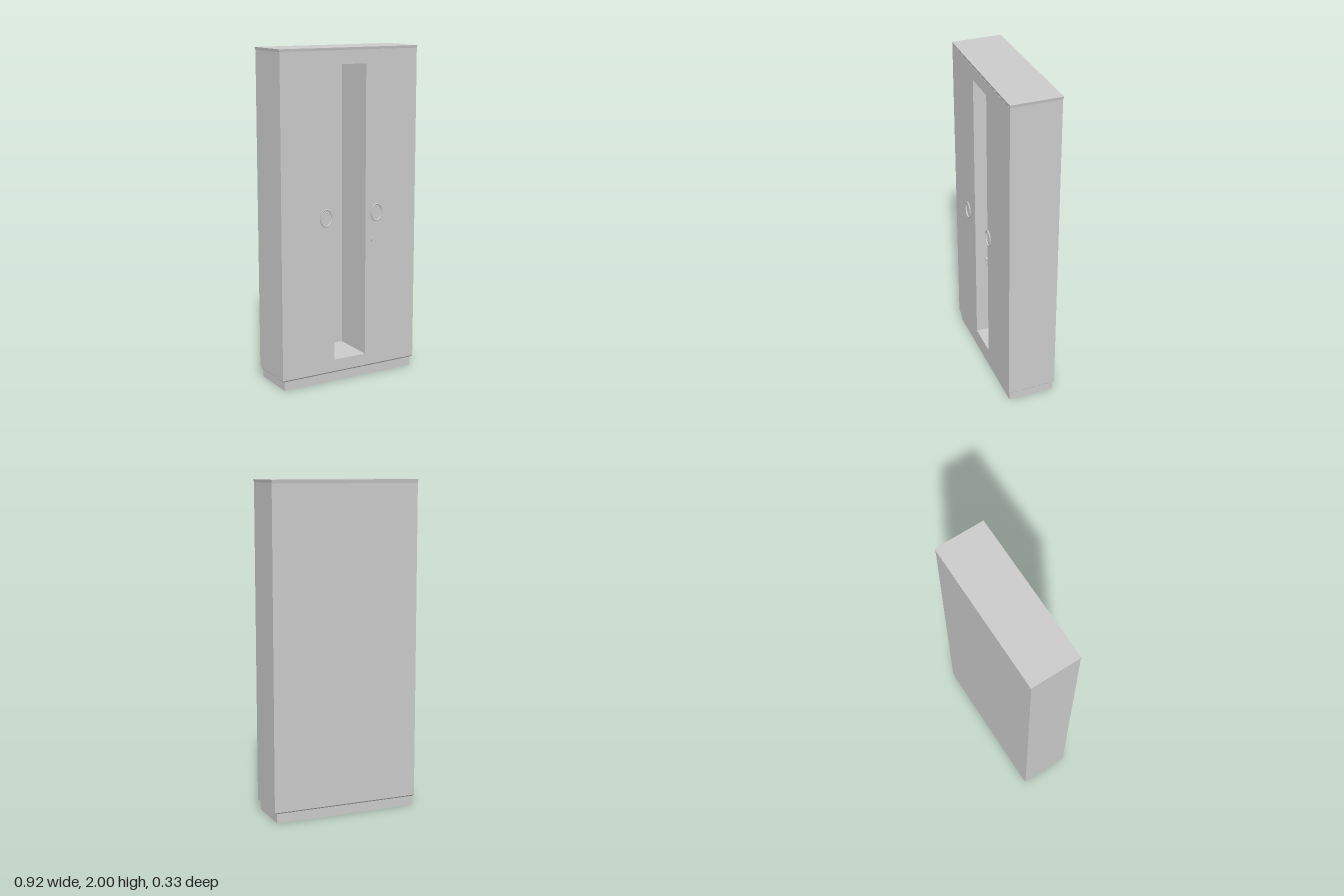
import * as THREE from 'three';

const material = new THREE.MeshStandardMaterial({ color: 0xcccccc });

function add(group, name, geometry, x = 0, y = 0, z = 0) {
  const mesh = new THREE.Mesh(geometry, material);
  mesh.name = name;
  mesh.position.set(x, y, z);
  group.add(mesh);
  return mesh;
}

// Rectangular outline between two corners
function rectangle(PathType, x0, y0, x1, y1) {
  return new PathType().moveTo(x0, y0).lineTo(x1, y0).lineTo(x1, y1).lineTo(x0, y1).closePath();
}

// Box whose bottom is inset on all sides
function taperedBox(w, h, d, inset) {
  const geometry = new THREE.BoxGeometry(w, h, d);
  const p = geometry.attributes.position;
  for (let i = 0; i < p.count; i++) {
    if (p.getY(i) < 0) {
      p.setX(i, p.getX(i) - Math.sign(p.getX(i)) * inset);
      p.setZ(i, p.getZ(i) - Math.sign(p.getZ(i)) * inset);
    }
  }
  geometry.computeVertexNormals();
  return geometry;
}

export function createModel() {
  const model = new THREE.Group();
  model.name = 'cabinet';

  // Body with a tall open niche
  const front = rectangle(THREE.Shape, -0.459, 0.065, 0.459, 1.985);
  front.holes.push(rectangle(THREE.Path, -0.108, 0.138, 0.106, 1.905));
  const bodyGeometry = new THREE.ExtrudeGeometry(front, { depth: 0.275, bevelEnabled: false });
  add(model, 'body', bodyGeometry, 0, 0, -0.135);
  add(model, 'backPanel', new THREE.BoxGeometry(0.918, 1.92, 0.025), 0, 1.025, -0.1475);

  // Slightly overhanging top, sloped lower lip and recessed plinth
  add(model, 'topPanel', taperedBox(0.924, 0.022, 0.306, 0.004), 0, 1.989, -0.011);
  add(model, 'lowerLip', taperedBox(0.918, 0.012, 0.3, 0.012), 0, 0.059, -0.01);
  add(model, 'plinth', new THREE.BoxGeometry(0.886, 0.056, 0.284), 0, 0.028, -0.012);

  // Flat oval ring handles, standing just clear of the doors
  const section = [[0.034, -0.003], [0.041, -0.003], [0.041, 0.002], [0.039, 0.005],
    [0.036, 0.005], [0.034, 0.002], [0.034, -0.003]].map(([r, y]) => new THREE.Vector2(r, y));
  const ring = new THREE.LatheGeometry(section, 48);
  ring.rotateX(Math.PI / 2);
  for (const [name, x] of [['rightHandle', -0.175], ['leftHandle', 0.171]]) {
    add(model, name, ring, x, 1.021, 0.16).scale.y = 1.33;
  }

  // Small oval lock
  const lock = new THREE.CylinderGeometry(0.007, 0.007, 0.01, 20);
  lock.rotateX(Math.PI / 2);
  add(model, 'lock', lock, 0.142, 0.857, 0.16).scale.y = 1.9;

  return model;
}
